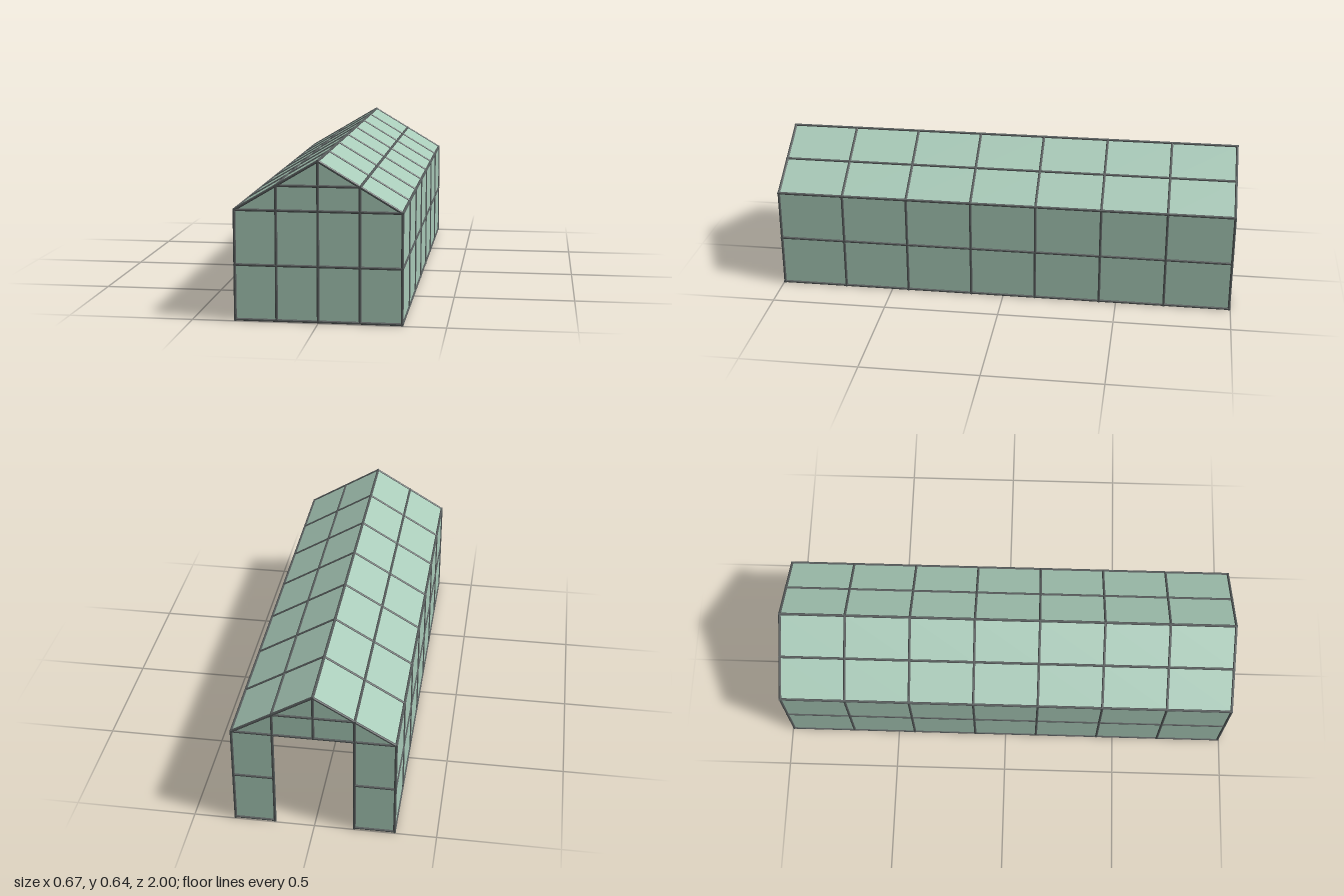
import * as THREE from 'three';

const R = 0.0058;              // bar radius
const X = 0.328, Z = 0.994;    // half width and half length at bar centres
const BASE = 0.006, MID = 0.225, EAVE = 0.442, RIDGE = 0.637;
const BAYS = 7;
const HALF = X / 2, PURLIN = (EAVE + RIDGE) / 2;

const glassMat = new THREE.MeshStandardMaterial({ color: 0xa9cbb9, side: THREE.DoubleSide });
const barMat = new THREE.MeshStandardMaterial({ color: 0x555a5a, flatShading: true });

// Eight-sided bar between two points
function bar(group, name, a, b) {
  const from = new THREE.Vector3(...a), to = new THREE.Vector3(...b);
  const dir = to.clone().sub(from);
  const geo = new THREE.CylinderGeometry(R, R, dir.length(), 8);
  geo.rotateY(Math.PI / 8);
  const mesh = new THREE.Mesh(geo, barMat);
  mesh.quaternion.setFromUnitVectors(new THREE.Vector3(0, 1, 0), dir.normalize());
  mesh.position.copy(from).add(to).multiplyScalar(0.5);
  mesh.name = name;
  group.add(mesh);
}

// Flat glass sheet in an end wall
function endGlass(group, name, points, z) {
  const shape = new THREE.Shape(points.map(p => new THREE.Vector2(...p)));
  const mesh = new THREE.Mesh(new THREE.ShapeGeometry(shape), glassMat);
  mesh.position.z = z;
  mesh.name = name;
  group.add(mesh);
}

// Glass pane running along z between two profile points
function longGlass(group, name, a, b, z0, z1) {
  const dx = b[0] - a[0], dy = b[1] - a[1];
  const geo = new THREE.PlaneGeometry(z1 - z0, Math.hypot(dx, dy));
  geo.rotateY(Math.PI / 2);
  const mesh = new THREE.Mesh(geo, glassMat);
  mesh.rotation.z = Math.atan2(-dx, dy);
  mesh.position.set((a[0] + b[0]) / 2, (a[1] + b[1]) / 2, (z0 + z1) / 2);
  mesh.name = name;
  group.add(mesh);
}

// Gable framing shared by both ends
function gable(z) {
  const g = new THREE.Group();
  bar(g, 'eaveTie', [-X, EAVE, z], [X, EAVE, z]);
  bar(g, 'collarTie', [-HALF, PURLIN, z], [HALF, PURLIN, z]);
  bar(g, 'kingPost', [0, EAVE, z], [0, RIDGE, z]);
  for (const s of [-1, 1]) bar(g, 'gablePost', [s * HALF, EAVE, z], [s * HALF, PURLIN, z]);
  endGlass(g, 'gableGlass', [[-X, EAVE], [X, EAVE], [0, RIDGE]], z);
  return g;
}

export function createModel() {
  const model = new THREE.Group();
  model.name = 'greenhouse';

  // Closed front wall
  const front = gable(Z);
  front.name = 'frontWall';
  for (const x of [-HALF, 0, HALF]) bar(front, 'frontPost', [x, BASE, Z], [x, EAVE, Z]);
  for (const y of [BASE, MID]) bar(front, 'frontRail', [-X, y, Z], [X, y, Z]);
  endGlass(front, 'frontGlass', [[-X, BASE], [X, BASE], [X, EAVE], [-X, EAVE]], Z);
  model.add(front);

  // Back wall with a doorway in the middle
  const back = gable(-Z);
  back.name = 'backWall';
  for (const s of [-1, 1]) {
    bar(back, 'doorPost', [s * HALF, 0, -Z], [s * HALF, EAVE, -Z]);
    for (const y of [BASE, MID]) bar(back, 'backRail', [s * HALF, y, -Z], [s * X, y, -Z]);
    endGlass(back, 'backGlass',
      [[s * HALF, BASE], [s * X, BASE], [s * X, EAVE], [s * HALF, EAVE]], -Z);
  }
  model.add(back);

  // Side walls and roof slopes, mirrored
  for (const s of [-1, 1]) {
    const side = new THREE.Group();
    side.name = s > 0 ? 'leftSide' : 'rightSide';
    const profile = [[s * X, BASE], [s * X, MID], [s * X, EAVE], [s * HALF, PURLIN], [0, RIDGE]];
    const rails = ['baseRail', 'midRail', 'eaveRail', 'purlin'];
    rails.forEach((name, i) => {
      bar(side, name, [...profile[i], -Z - R], [...profile[i], Z + R]);
    });
    for (let i = 0; i <= BAYS; i++) {
      const z = -Z + (2 * Z * i) / BAYS;
      bar(side, 'sidePost', [s * X, 0, z], [s * X, EAVE, z]);
      bar(side, 'rafter', [s * X, EAVE, z], [0, RIDGE, z]);
      if (i === BAYS) continue;
      const next = z + (2 * Z) / BAYS;
      for (let k = 0; k < 4; k++) {
        longGlass(side, k < 2 ? 'wallPane' : 'roofPane', profile[k], profile[k + 1], z, next);
      }
    }
    model.add(side);
  }

  // Ridge
  bar(model, 'ridgeBar', [0, RIDGE, -Z - R], [0, RIDGE, Z + R]);
  return model;
}
